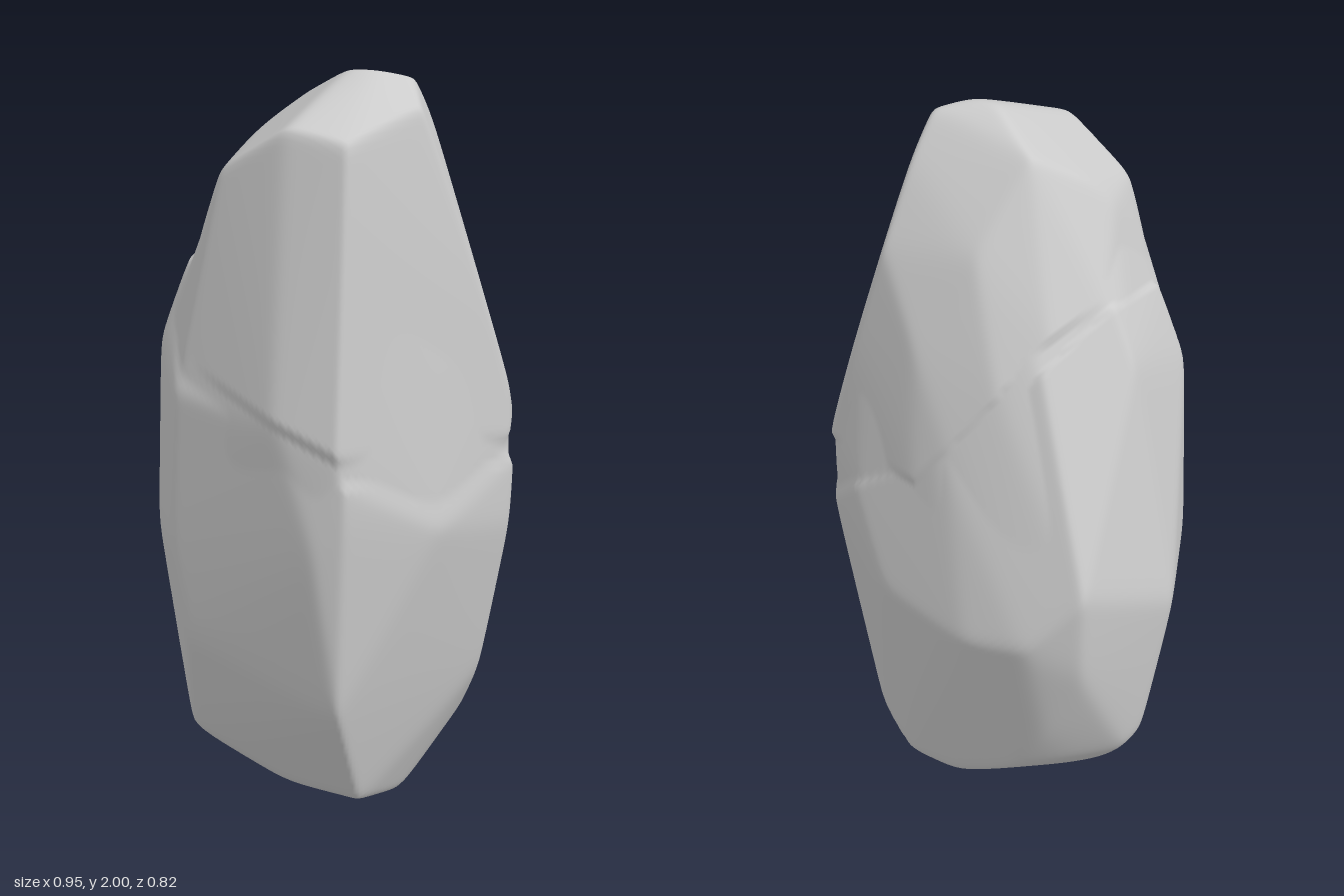
import * as THREE from 'three';
import { ConvexGeometry } from 'three/addons/geometries/ConvexGeometry.js';
import { mergeVertices } from 'three/addons/utils/BufferGeometryUtils.js';

const CENTRE = new THREE.Vector3(0.05, 1.15, 0);

// Corners of the lower block, from base to the slanting crack
const LOWER = [
  [-0.1, 0.01, 0], [0.22, 0, -0.07], [0, 0.06, 0.16], [0.21, 0.06, 0.16], [0.22, 0.08, -0.25], [0.08, 0.07, -0.24],
  [-0.32, 0.19, -0.05], [-0.28, 0.19, 0.21], [-0.27, 0.25, -0.2], [-0.13, 0.2, -0.27], [0.31, 0.2, -0.25],
  [0.4, 0.37, -0.18], [0.24, 0.38, 0.33], [-0.22, 0.52, 0.33], [-0.42, 0.33, -0.05], [-0.4, 0.29, -0.09],
  [-0.28, 0.4, -0.29], [-0.4, 0.66, -0.29],
  [-0.48, 0.76, 0], [-0.41, 0.92, -0.31], [-0.28, 0.75, -0.39], [-0.1, 0.72, -0.415],
  [0.18, 0.75, -0.385], [0.43, 0.88, -0.28], [0.475, 0.8, -0.18], [0.475, 0.97, -0.19], [0.41, 0.85, 0.1],
  [0.28, 0.95, 0.37], [0.2, 0.85, 0.395], [-0.25, 0.8, 0.35], [-0.33, 0.8, 0.28],
  [-0.22, 1.2, 0.36], [-0.34, 1.43, 0], [-0.31, 1.31, 0.28], [-0.27, 1.57, 0], [-0.24, 1.52, 0.25],
  [-0.2, 1.45, -0.2], [0, 1.2, -0.33], [0.3, 1, -0.34], [0.1, 1.16, 0.4], [0.28, 1.03, 0.37], [0.1, 1.28, 0],
];

// Corners of the upper block, from crown to the hidden underside
const UPPER = [
  [0.1, 2, 0.03], [0.18, 2, 0.03], [0.24, 1.98, -0.05], [0.31, 1.92, 0.04], [0.24, 1.86, 0.29],
  [0.08, 1.89, 0.31], [-0.11, 1.77, 0.3], [-0.17, 1.76, 0.15], [-0.12, 1.85, 0.08], [-0.05, 1.92, -0.04],
  [0.25, 1.88, -0.13], [0, 1.7, -0.2], [0.26, 1.67, -0.24], [0.12, 1.45, -0.3],
  [0.425, 1.4, -0.12], [0.34, 1.4, -0.27],
  [-0.25, 1.58, 0], [-0.2, 1.58, 0.26], [-0.21, 1.28, 0.34], [0.1, 1.18, 0.415], [0.27, 1.1, 0.385],
  [0.47, 1.04, -0.18], [0.46, 1.18, -0.19], [0.43, 1.08, -0.28], [0.1, 1.1, -0.35], [0, 1.22, -0.33],
  [-0.11, 1.38, -0.27], [-0.19, 1.52, -0.16],
  [0.4, 0.92, -0.12], [0.2, 0.95, 0.2], [0, 1, 0.2], [0.05, 0.95, -0.2], [-0.15, 1.3, 0],
];

// Distinct facet planes of a block, each stored as normal / distance from the centre
function facets(corners) {
  const hull = new ConvexGeometry(corners.map((c) => new THREE.Vector3(...c).sub(CENTRE)));
  const p = hull.attributes.position;
  const planes = [];
  for (let i = 0; i < p.count; i += 3) {
    const [a, b, c] = [0, 1, 2].map((k) => new THREE.Vector3().fromBufferAttribute(p, i + k));
    const plane = new THREE.Plane().setFromCoplanarPoints(a, b, c);
    const n = plane.normal.divideScalar(Math.max(-plane.constant, 0.02));
    if (!planes.some((q) => q.distanceTo(n) < 0.02)) planes.push(n);
  }
  return planes;
}

// Distance to a block's surface along a direction, with slightly rounded edges
function reach(planes, dir) {
  const power = 120;
  const values = planes.map((n) => n.dot(dir));
  const top = Math.max(...values);
  const sum = values.reduce((s, v) => s + (v > 0 ? Math.pow(v / top, power) : 0), 0);
  return 1.008 / (top * Math.pow(sum, 1 / power));
}

export function createModel() {
  const group = new THREE.Group();
  group.name = 'rock';

  // One skin over both blocks; the crack between them is filled to a shallow groove
  let geo = new THREE.IcosahedronGeometry(1, 60);
  geo.deleteAttribute('uv');
  geo.deleteAttribute('normal');
  geo = mergeVertices(geo, 1e-5);
  const lower = facets(LOWER);
  const upper = facets(UPPER);
  const fill = facets([...LOWER, ...UPPER]);
  const pos = geo.attributes.position;
  const dir = new THREE.Vector3();
  for (let i = 0; i < pos.count; i++) {
    dir.fromBufferAttribute(pos, i);
    dir.y *= 2;
    dir.normalize();
    const r = Math.max(reach(lower, dir), reach(upper, dir), reach(fill, dir) * 0.98);
    dir.multiplyScalar(r).add(CENTRE);
    pos.setXYZ(i, dir.x, dir.y, dir.z);
  }
  geo.computeVertexNormals();

  const stone = new THREE.Mesh(geo, new THREE.MeshStandardMaterial({ color: 0xcccccc }));
  stone.name = 'crackedStone';
  group.add(stone);
  return group;
}
